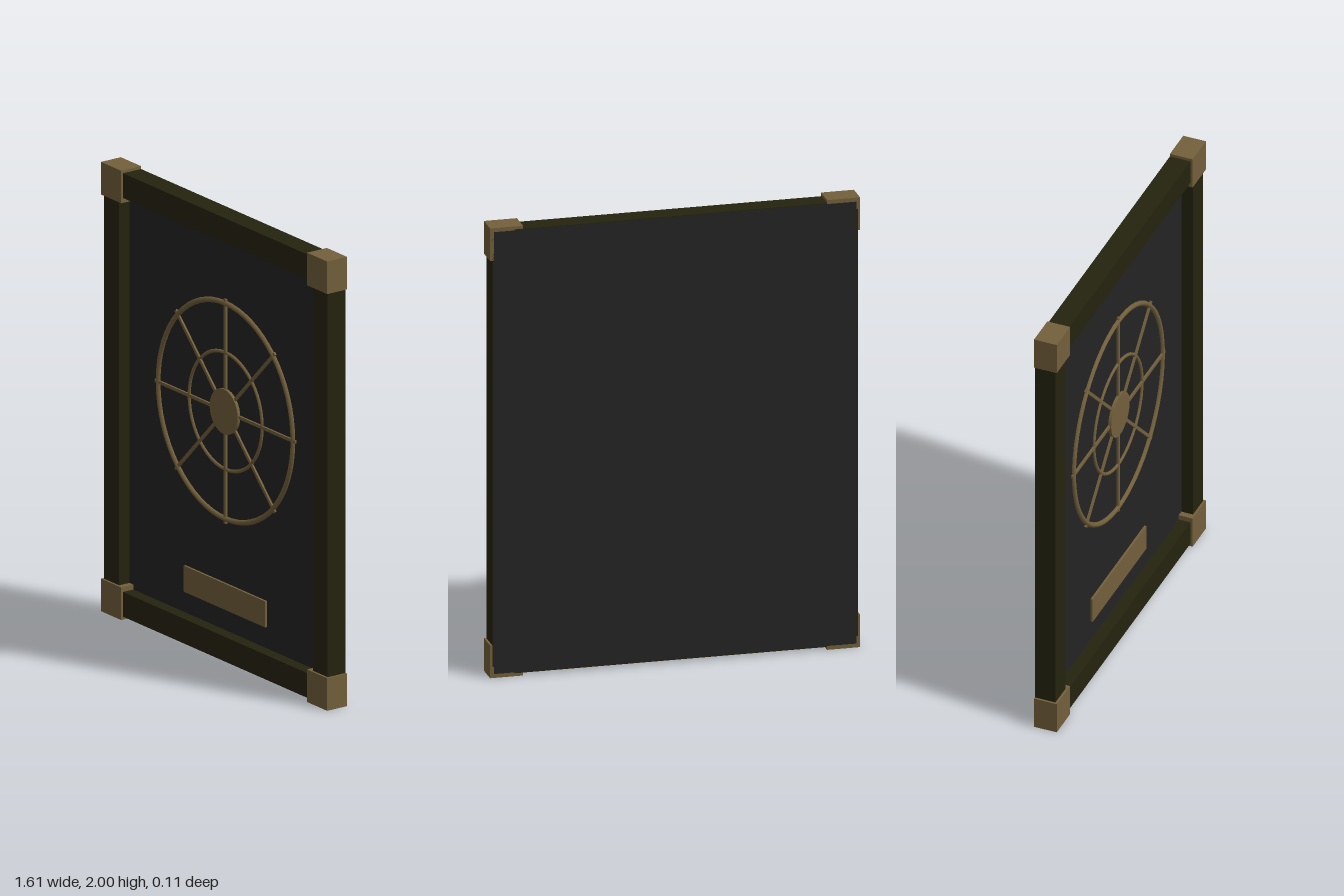
import * as THREE from 'three';

export function createModel() {
  const brass = new THREE.MeshStandardMaterial({ name: 'agedBrass', color: 0x73603b });
  const wood = new THREE.MeshStandardMaterial({ name: 'darkOlive', color: 0x25230f });
  const slate = new THREE.MeshStandardMaterial({ name: 'charcoal', color: 0x242424 });
  const model = new THREE.Group();
  model.name = 'framedPanel';

  const add = (parent, name, geometry, material, x = 0, y = 0, z = 0) => {
    const mesh = new THREE.Mesh(geometry, material);
    mesh.name = name;
    mesh.position.set(x, y, z);
    parent.add(mesh);
    return mesh;
  };
  const box = (w, h, d) => new THREE.BoxGeometry(w, h, d);

  // Backing panel, recessed inside the frame at the front
  const face = -0.012;
  add(model, 'backPanel', box(1.58, 1.965, 0.041), slate, 0, 1, face - 0.0205);

  // Frame rails and corner blocks
  for (const s of [-1, 1]) {
    add(model, 'sideRail', box(0.106, 1.9, 0.094), wood, s * 0.743, 1, -0.005);
    add(model, 'crossRail', box(1.4, 0.11, 0.094), wood, 0, 1 + s * 0.932, -0.005);
    for (const t of [-1, 1]) {
      add(model, 'cornerBlock', box(0.144, 0.145, 0.104), brass, s * 0.734, 1 + t * 0.9275, 0);
    }
  }

  // Wheel emblem: two rings, hub and eight spokes
  const wheel = new THREE.Group();
  wheel.name = 'wheel';
  wheel.position.set(0, 1.1, face + 0.002);
  model.add(wheel);
  add(wheel, 'outerRing', new THREE.TorusGeometry(0.48, 0.012, 8, 64), brass);
  add(wheel, 'innerRing', new THREE.TorusGeometry(0.26, 0.008, 8, 48), brass);
  const hub = new THREE.CylinderGeometry(0.1, 0.1, 0.024, 32).rotateX(Math.PI / 2);
  add(wheel, 'hub', hub, brass);
  for (let i = 0; i < 4; i++) {
    const spoke = add(wheel, 'spokePair', box(0.014, 1, 0.014), brass);
    spoke.rotation.z = (i * Math.PI) / 4;
  }

  // Blank plaque below the wheel
  add(model, 'plaque', box(0.58, 0.116, 0.02), brass, 0, 0.276, face);
  return model;
}
